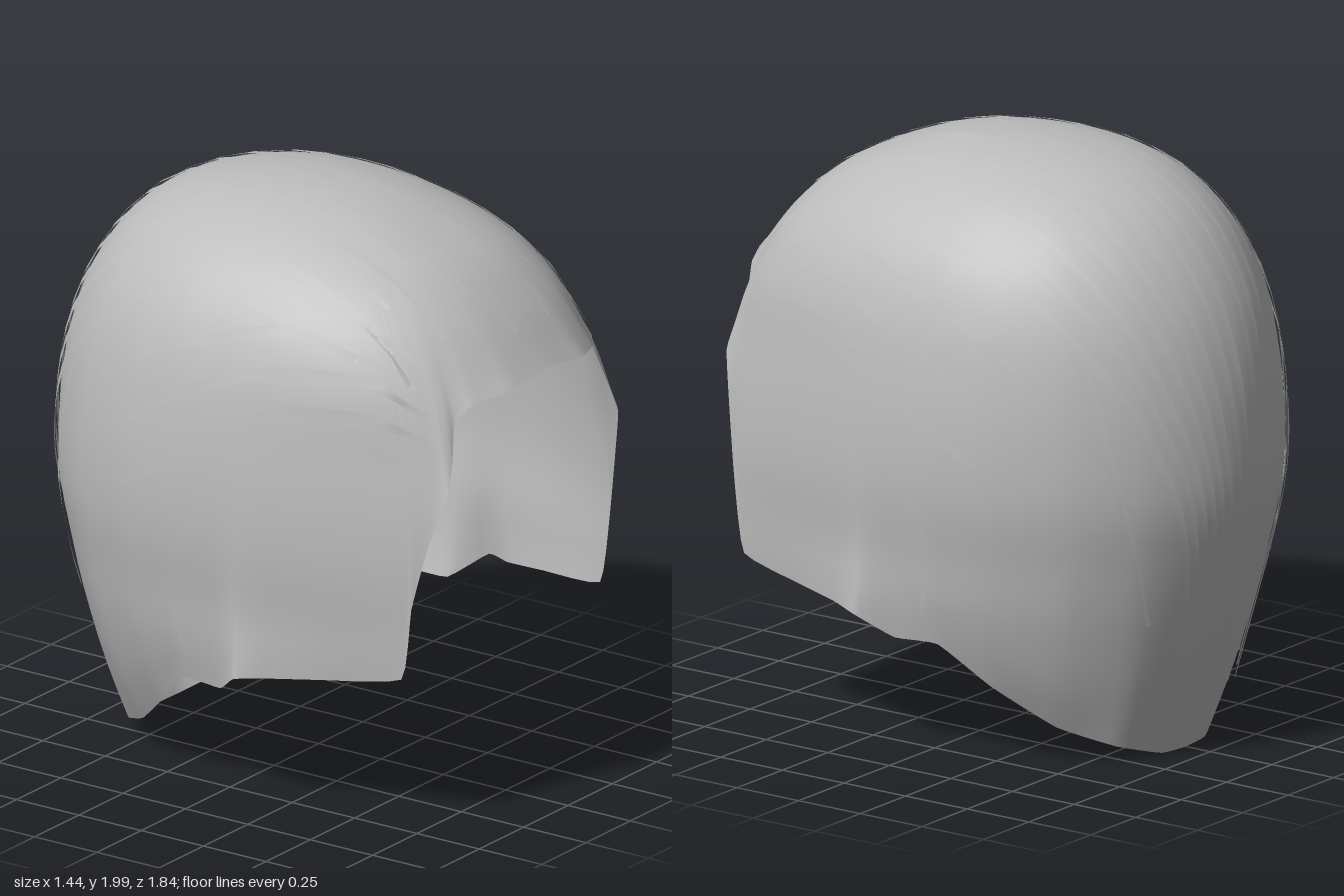
import * as THREE from 'three';

const Z0 = -0.05;
// Horizontal sections, crown to nape: height, half width, front reach, back reach, front squareness
const SECTIONS = [
  [1.985, 0, 0, 0, 2.2], [1.97, 0.17, 0.25, 0.18, 2.2], [1.92, 0.33, 0.45, 0.4, 2.3],
  [1.82, 0.48, 0.67, 0.57, 2.4], [1.68, 0.595, 0.83, 0.69, 2.5], [1.5, 0.665, 0.97, 0.78, 2.4],
  [1.3, 0.7, 1.13, 0.83, 2.1], [1.1, 0.715, 1.25, 0.85, 2], [0.9, 0.71, 1.32, 0.85, 2],
  [0.7, 0.68, 1.4, 0.81, 2], [0.5, 0.65, 1.45, 0.755, 2], [0.25, 0.57, 1.4, 0.68, 2], [0, 0.42, 1.3, 0.6, 2],
];
// Hairline on the left half, from the forehead round to the nape
const RIM = [
  [0, 1.51, 0.92], [0.2, 1.49, 0.92], [0.34, 1.47, 0.86], [0.4, 1.41, 0.83], [0.44, 1.3, 0.85],
  [0.48, 1.2, 0.86], [0.53, 1, 0.81], [0.56, 0.8, 0.77], [0.56, 0.55, 0.73], [0.63, 0.51, 0.45],
  [0.67, 0.49, 0.28], [0.72, 0.48, 0.17], [0.64, 0.4, 0.06], [0.62, 0.4, -0.1], [0.53, 0.26, -0.25],
  [0.4, 0.12, -0.42], [0.27, 0.05, -0.57], [0.12, 0.005, -0.64], [0, 0, -0.65],
];

const spline = (pts, closed, tension) => new THREE.CatmullRomCurve3(pts, closed, 'catmullrom', tension);
const frontCurve = spline(SECTIONS.map(([y, w, f]) => new THREE.Vector3(w, y, f)), false, 0.5);
const backCurve = spline(SECTIONS.map(([y, , , b, p]) => new THREE.Vector3(b, y, p)), false, 0.5);

// Point on the head shape at section t and heading a (0 = front)
function headPoint(t, a) {
  const f = frontCurve.getPoint(t), b = backCurve.getPoint(t);
  if (f.x < 1e-5) return new THREE.Vector3(0, f.y, Z0);
  const isFront = Math.cos(a) > 0;
  const depth = isFront ? f.z : b.x;
  const p = isFront ? b.z : 2;
  const r = (Math.abs(Math.sin(a) / f.x) ** p + Math.abs(Math.cos(a) / depth) ** p) ** (-1 / p);
  return new THREE.Vector3(r * Math.sin(a), f.y, Z0 + r * Math.cos(a));
}

function sectionAtHeight(y) {
  let lo = 0, hi = 1;
  for (let i = 0; i < 30; i++) {
    const mid = (lo + hi) / 2;
    if (frontCurve.getPoint(mid).y > y) lo = mid; else hi = mid;
  }
  return (lo + hi) / 2;
}

// Shell: one column of points from the crown to each hairline point
function shellGeometry() {
  const half = RIM.map((p) => new THREE.Vector3(...p));
  const other = half.slice(1, -1).reverse().map((p) => new THREE.Vector3(-p.x, p.y, p.z));
  const rim = spline([...half, ...other], true, 0.2);
  const cols = 144, rows = 32;
  const crown = headPoint(0, 0);
  const pos = [crown.x, crown.y, crown.z], index = [];
  const id = (i, j) => (j === 0 ? 0 : 1 + (i % cols) * rows + j - 1);
  for (let i = 0; i < cols; i++) {
    const end = rim.getPoint(i / cols);
    const a = Math.atan2(end.x, end.z - Z0);
    const tEnd = sectionAtHeight(end.y);
    const shift = end.clone().sub(headPoint(tEnd, a));
    for (let j = 1; j <= rows; j++) {
      const s = j / rows;
      const p = headPoint(s * tEnd, a).addScaledVector(shift, s ** 10);
      pos.push(p.x, p.y, p.z);
      if (j > 1) index.push(id(i, j - 1), id(i, j), id(i + 1, j - 1));
      index.push(id(i, j), id(i + 1, j), id(i + 1, j - 1));
    }
  }
  const g = new THREE.BufferGeometry();
  g.setAttribute('position', new THREE.Float32BufferAttribute(pos, 3));
  g.setIndex(index);
  g.computeVertexNormals();
  return g;
}

// Thin tapered ribbon lying just above the shell, rising from lift0 to lift1
function ribbon(hits, width, lift0, lift1) {
  const pos = [], index = [];
  const n = hits.length;
  hits.forEach(({ point, out }, i) => {
    const along = hits[Math.min(i + 1, n - 1)].point.clone().sub(hits[Math.max(i - 1, 0)].point);
    const side = along.cross(out).normalize();
    const k = i / (n - 1);
    const mid = point.clone().addScaledVector(out, lift0 + (lift1 - lift0) * k * k);
    const w = width * (0.5 + 0.5 * Math.sin(Math.PI * k)) / 2;
    for (const sgn of [-1, 1]) {
      const q = mid.clone().addScaledVector(side, sgn * w);
      pos.push(q.x, q.y, q.z);
    }
    if (i) index.push(2 * i - 2, 2 * i - 1, 2 * i, 2 * i - 1, 2 * i + 1, 2 * i);
  });
  const g = new THREE.BufferGeometry();
  g.setAttribute('position', new THREE.Float32BufferAttribute(pos, 3));
  g.setIndex(index);
  g.computeVertexNormals();
  return g;
}

export function createModel() {
  const model = new THREE.Group();
  model.name = 'hair';
  const grey = new THREE.MeshStandardMaterial({ color: 0xbcbcbc, side: THREE.DoubleSide });
  grey.name = 'hair grey';

  const shell = new THREE.Mesh(shellGeometry(), grey);
  shell.name = 'hairShell';
  model.add(shell);

  // Shell point and outward normal along a ray
  const caster = new THREE.Raycaster();
  const centre = new THREE.Vector3(0, 1, Z0);
  const hit = (from, dir) => {
    caster.set(from, dir.normalize());
    const found = caster.intersectObject(shell)[0];
    return found && { point: found.point, out: found.face.normal.clone() };
  };
  const addStrand = (name, hits, width, lift0, lift1) => {
    const mesh = new THREE.Mesh(ribbon(hits.filter(Boolean), width, lift0, lift1), grey);
    mesh.name = name;
    model.add(mesh);
  };

  // Strands combed from the forehead over the crown, gathering at the nape
  const lanes = [0.05, 0.13, 0.22, 0.3, 0.38, 0.47, 0.56, 0.66];
  lanes.forEach((lane, i) => {
    for (const sgn of [-1, 1]) {
      const jitter = ((i * 7 + (sgn > 0 ? 3 : 0)) % 5) / 5;
      const start = 0.95 - 0.45 * jitter, end = -2.35 - 0.15 * jitter;
      const hits = [];
      for (let k = 0; k <= 26; k++) {
        const b = start + (end - start) * k / 26;
        const a = sgn * lane * (1 - 0.72 * THREE.MathUtils.smoothstep(-b, 0.5, 2.5));
        hits.push(hit(centre, new THREE.Vector3(
          Math.sin(a), Math.cos(a) * Math.cos(b), Math.cos(a) * Math.sin(b))));
      }
      addStrand('combedStrand', hits, 0.035, 0.006, 0.025);
    }
  });

  // Strands swept back from the temples, as z, y paths on each side
  const sweeps = [
    [[0.7, 1.6], [0.5, 1.72], [0.25, 1.79], [-0.1, 1.74], [-0.4, 1.62], [-0.6, 1.4], [-0.72, 0.9], [-0.72, 0.5]],
    [[0.75, 1.5], [0.57, 1.6], [0.28, 1.67], [0, 1.6], [-0.2, 1.53], [-0.42, 1.38]],
    [[0.76, 1.44], [0.58, 1.54], [0.3, 1.55], [0, 1.45], [-0.2, 1.34], [-0.34, 1.23]],
    [[0.78, 1.36], [0.6, 1.43], [0.35, 1.43], [0.12, 1.36]],
    [[0.78, 1.27], [0.6, 1.31], [0.4, 1.28]],
    [[-0.02, 1.22], [-0.15, 1.15], [-0.29, 1.06]],
    [[0.04, 1.1], [0, 1], [-0.1, 0.75], [-0.06, 0.5]],
  ];
  for (const path of sweeps) {
    const line = spline(path.map(([z, y]) => new THREE.Vector3(0, y, z)), false, 0.5);
    const samples = line.getPoints((path.length - 1) * 4);
    for (const sgn of [-1, 1]) {
      const hits = samples.map(({ y, z }) =>
        hit(new THREE.Vector3(sgn * 2, y, z), new THREE.Vector3(-sgn, 0, 0)));
      addStrand('templeStrand', hits, 0.035, 0.006, 0.012);
    }
  }
  return model;
}
